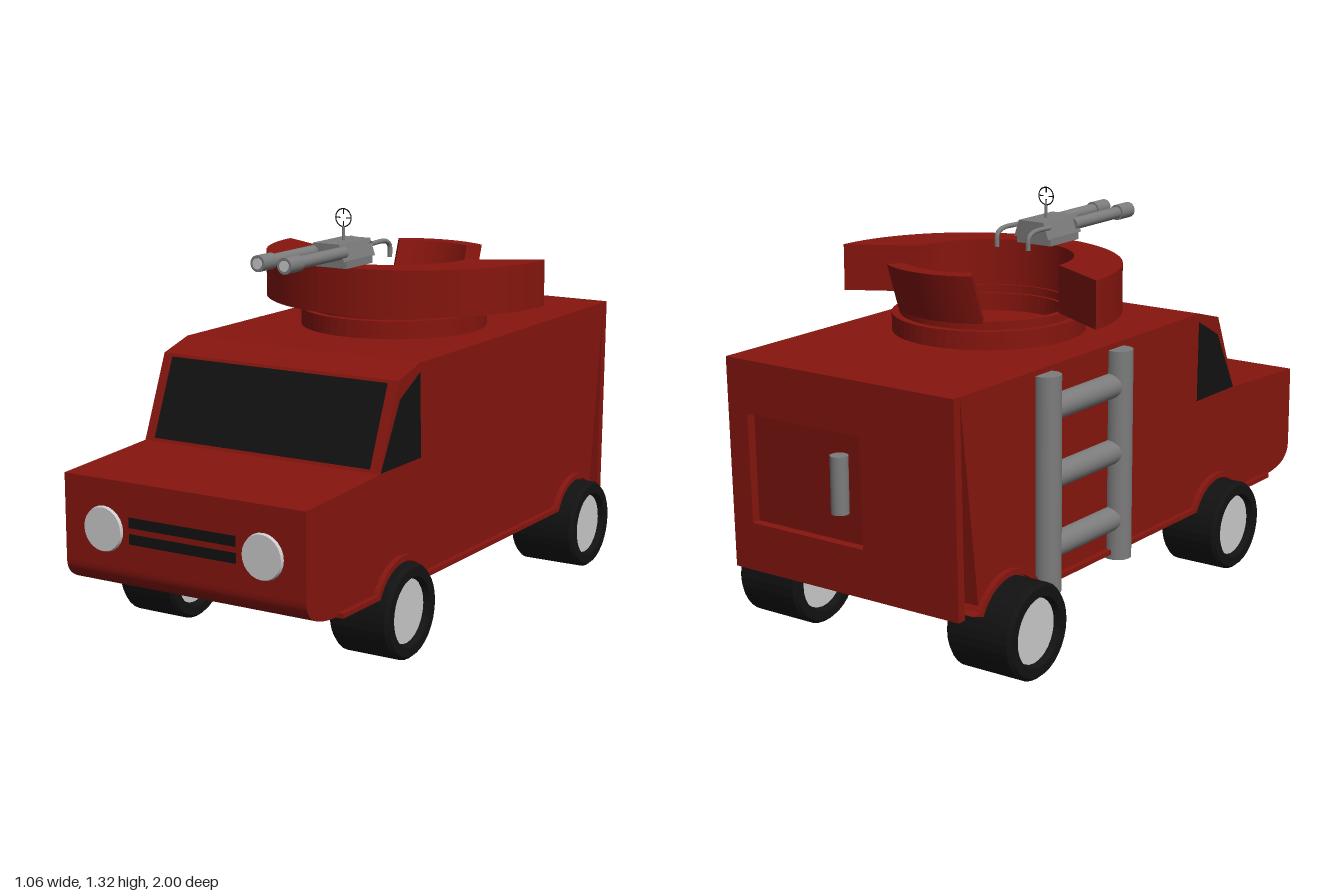
import * as THREE from 'three';

const mat = (color) => new THREE.MeshStandardMaterial({ color, side: THREE.DoubleSide });
const HALF = Math.PI / 2;
const WHEEL_Y = 0.15, WHEEL_Z = [-0.73, 0.47];

export function createModel() {
  const model = new THREE.Group();
  const red = mat(0x86150e), black = mat(0x121212), steel = mat(0x7c7c7c), light = mat(0xcccccc);

  const add = (name, geometry, material, x = 0, y = 0, z = 0, parent = model) => {
    const mesh = new THREE.Mesh(geometry, material);
    mesh.name = name;
    mesh.position.set(x, y, z);
    parent.add(mesh);
    return mesh;
  };
  const box = (w, h, d) => new THREE.BoxGeometry(w, h, d);
  const cyl = (r, len, axis = 'y', r2 = r) => {
    const g = new THREE.CylinderGeometry(r, r2, len, 24);
    if (axis === 'x') g.rotateZ(HALF);
    if (axis === 'z') g.rotateX(HALF);
    return g;
  };
  // Extrudes a (z, y) side profile across x0..x1
  const sideExtrude = (shape, x0, x1) => new THREE.ExtrudeGeometry(shape,
    { depth: x1 - x0, bevelEnabled: false, curveSegments: 20 }).rotateY(-HALF).translate(x1, 0, 0);
  // Extrudes a plan shape drawn as (x, -z) upward from y = 0
  const planExtrude = (shape, h) => new THREE.ExtrudeGeometry(shape,
    { depth: h, bevelEnabled: false, curveSegments: 32 }).rotateX(-HALF);
  // Adds the wheel arches to a line at height y
  const arches = (shape, y, r, forward) => {
    const a = Math.asin((y - WHEEL_Y) / r);
    const order = forward ? WHEEL_Z : [...WHEEL_Z].reverse();
    for (const z of order) {
      const [s, e] = forward ? [Math.PI - a, a] : [a, Math.PI - a];
      shape.absarc(z, WHEEL_Y, r, s, e, forward);
    }
  };

  // Body with wheel wells cut right across
  const profile = new THREE.Shape();
  profile.moveTo(-0.94, 0.225);
  arches(profile, 0.225, 0.157, true);
  profile.lineTo(0.84, 0.225);
  profile.bezierCurveTo(0.93, 0.23, 0.99, 0.25, 0.99, 0.31);
  for (const [z, y] of [[0.99, 0.58], [0.585, 0.6], [0.475, 0.865], [0.35, 0.9], [-0.95, 0.9]])
    profile.lineTo(z, y);
  profile.closePath();
  add('body', sideExtrude(profile, -0.412, 0.457), red);

  // Lower trim following the arches
  const trim = new THREE.Shape();
  trim.moveTo(-0.92, 0.22);
  arches(trim, 0.22, 0.155, true);
  trim.lineTo(0.82, 0.22);
  trim.lineTo(0.82, 0.235);
  arches(trim, 0.235, 0.173, false);
  trim.lineTo(-0.92, 0.235);
  trim.closePath();
  add('archTrim', sideExtrude(trim, -0.43, 0.475), red);

  // Rear wall with a recessed door
  const rect = (S, x0, y0, x1, y1) => new S().setFromPoints(
    [[x0, y0], [x1, y0], [x1, y1], [x0, y1], [x0, y0]].map(([x, y]) => new THREE.Vector2(x, y)));
  const wall = rect(THREE.Shape, -0.412, 0, 0.457, 0.675);
  wall.holes.push(rect(THREE.Path, -0.06, 0.155, 0.38, 0.505));
  const rear = add('rearWall', new THREE.ExtrudeGeometry(wall, { depth: 0.03, bevelEnabled: false }),
    red, 0, 0.225, -0.965);
  rear.rotation.x = -0.022;
  add('doorHandle', cyl(0.028, 0.18), steel, 0.022, 0.57, -0.972);

  // Windows
  const windshield = add('windshield', box(0.795, 0.265, 0.01), black, 0.0225, 0.7325, 0.53);
  windshield.rotation.x = -Math.atan(0.11 / 0.265);
  const pane = new THREE.Shape([[0.58, 0.603], [0.346, 0.603], [0.351, 0.87], [0.469, 0.807]]
    .map(([z, y]) => new THREE.Vector2(z, y)));
  add('leftWindow', sideExtrude(pane, 0.45, 0.46), black);
  add('rightWindow', sideExtrude(pane, -0.415, -0.405), black);

  // Headlights and grille
  for (const x of [-0.265, 0.31]) {
    add('headlight', cyl(0.068, 0.02, 'z', 0.075), light, x, 0.425, 0.99);
  }
  for (const y of [0.457, 0.406]) add('grilleSlot', box(0.385, 0.032, 0.01), black, 0.0225, y, 0.988);

  // Wheels: hollow-faced tyre with a hub disc on each side
  const addWheel = (side, z, inner, outer) => {
    const w = (outer - inner) / 2;
    const wheel = new THREE.Group();
    wheel.name = 'wheel';
    wheel.position.set(side * (inner + w), WHEEL_Y, z);
    const tyre = [[0.1, -w + 0.025], [0.11, -w], [0.14, -w], [0.15, -w + 0.012],
      [0.15, w - 0.012], [0.14, w], [0.11, w], [0.1, w - 0.025]].map(([r, y]) => new THREE.Vector2(r, y));
    const g = new THREE.LatheGeometry(tyre, 32).toNonIndexed();
    g.computeVertexNormals();
    add('tyre', g.rotateZ(HALF), black, 0, 0, 0, wheel);
    add('hub', cyl(0.102, 2 * w - 0.04, 'x'), light, 0, 0, 0, wheel);
    model.add(wheel);
  };
  for (const side of [-1, 1]) {
    addWheel(side, WHEEL_Z[1], 0.295, 0.505);
    addWheel(side, WHEEL_Z[0], 0.295, 0.532);
  }

  // Side ladder
  for (const z of [-0.54, -0.15]) add('ladderPost', cyl(0.044, 0.68), steel, -0.426, 0.543, z);
  for (const y of [0.77, 0.555, 0.335]) add('ladderRung', cyl(0.04, 0.39, 'z'), steel, -0.418, y, -0.345);

  // Turret rings
  const turret = new THREE.Group();
  turret.name = 'turret';
  turret.position.set(0.035, 0, -0.21);
  model.add(turret);
  const ring = (outer, inner) => {
    const s = new THREE.Shape().absarc(0, 0, outer, 0, Math.PI * 2);
    s.holes.push(new THREE.Path().absarc(0, 0, inner, 0, Math.PI * 2, true));
    return s;
  };
  add('baseRing', planExtrude(ring(0.31, 0.25), 0.06), red, 0, 0.898, 0, turret);
  add('upperRing', planExtrude(ring(0.285, 0.262), 0.027), red, 0, 0.957, 0, turret);

  // Crescent shield: large half circle outside, ring radius inside
  const crescent = new THREE.Shape();
  crescent.absarc(0, 0.125, 0.495, Math.PI, Math.PI * 2, false);
  crescent.absarc(0, 0, 0.272, 0, Math.PI, true);
  crescent.closePath();
  add('frontShield', planExtrude(crescent, 0.152), red, 0, 0.983, 0, turret);

  // Curved back rest leaning rearward
  const arc = new THREE.Shape();
  arc.absarc(0, 0, 0.3, HALF - 0.58, HALF + 0.58, false);
  arc.absarc(0, 0, 0.242, HALF + 0.58, HALF - 0.58, true);
  arc.closePath();
  const rest = planExtrude(arc, 0.158);
  rest.applyMatrix4(new THREE.Matrix4().set(1, 0, 0, 0, 0, 1, 0, 0, 0, -0.36, 1, 0, 0, 0, 0, 1));
  add('backRest', rest, red, 0, 0.98, 0, turret);

  // Twin gun
  const gun = new THREE.Group();
  gun.name = 'twinGun';
  gun.position.set(0.022, 1.185, 0);
  model.add(gun);
  add('gunBase', box(0.135, 0.025, 0.16), steel, 0, -0.037, 0.1, gun);
  const bodyGeo = box(0.135, 0.055, 0.19);
  const p = bodyGeo.attributes.position;
  for (let i = 0; i < p.count; i++) if (p.getY(i) > 0) p.setX(i, p.getX(i) * 0.72);
  bodyGeo.computeVertexNormals();
  add('receiver', bodyGeo, steel, 0, 0.001, 0.1, gun);
  for (const s of [-1, 1]) {
    add('barrel', cyl(0.02, 0.33, 'z'), steel, s * 0.049, 0, 0.335, gun);
    add('muzzle', cyl(0.026, 0.075, 'z'), steel, s * 0.049, 0, 0.472, gun);
    add('bore', cyl(0.017, 0.004, 'z'), light, s * 0.049, 0, 0.51, gun);
    const path = new THREE.CatmullRomCurve3([[0.02, 0.012], [-0.07, 0.01], [-0.095, -0.005], [-0.098, -0.045]]
      .map(([z, y]) => new THREE.Vector3(s * 0.062, y, z)));
    add('grip', new THREE.TubeGeometry(path, 16, 0.008, 8), steel, 0, 0, 0, gun);
  }

  // Ring sight
  add('sightPost', cyl(0.005, 0.055), steel, 0, 0.045, 0.09, gun);
  add('sightRing', new THREE.TorusGeometry(0.029, 0.002, 6, 24), black, 0, 0.1, 0.09, gun);
  for (let i = 0; i < 4; i++) {
    const a = i * HALF;
    const bar = add('sightBar', box(0.018, 0.003, 0.003), black,
      Math.cos(a) * 0.02, 0.1 + Math.sin(a) * 0.02, 0.09, gun);
    bar.rotation.z = a;
  }
  return model;
}
